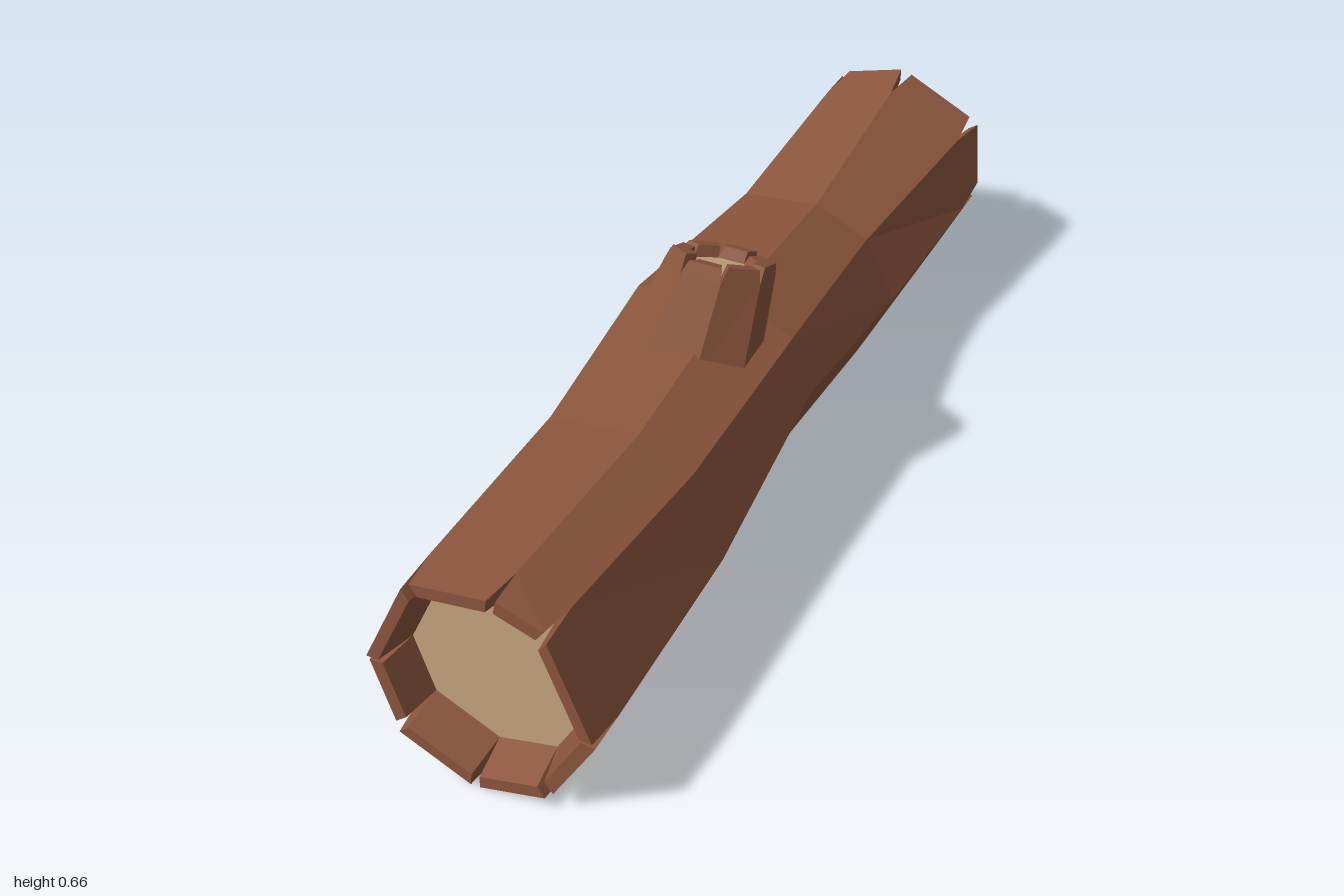
import * as THREE from 'three';
import { ConvexGeometry } from 'three/addons/geometries/ConvexGeometry.js';

const bark = new THREE.MeshStandardMaterial({ color: 0x8c563d });
bark.name = 'bark brown';
const wood = new THREE.MeshStandardMaterial({ color: 0xc6a680 });
wood.name = 'cut wood tan';

const mix = (a, b, t) => a.clone().lerp(b, t);
const centreOf = ring => ring.reduce((s, p) => s.add(p), new THREE.Vector3()).divideScalar(ring.length);
// Move a ring part of the way towards its centre
const shrink = (ring, t) => ring.map(p => mix(p, centreOf(ring), t));

function meshFrom(points, material, name) {
  const g = new THREE.BufferGeometry().setFromPoints(points);
  g.computeVertexNormals();
  const m = new THREE.Mesh(g, material);
  m.name = name;
  return m;
}

// Faceted skin through rings, each running clockwise as seen from the first end
function loft(rings, name) {
  const pts = [];
  for (let r = 0; r < rings.length - 1; r++) {
    const A = rings[r], B = rings[r + 1];
    A.forEach((a, i) => {
      const j = (i + 1) % A.length;
      pts.push(a, A[j], B[j], a, B[j], B[i]);
    });
  }
  return meshFrom(pts, bark, name);
}

// Flat cut face: a fan that faces the side where the ring runs clockwise
function cutFace(ring, name) {
  const c = centreOf(ring), pts = [];
  ring.forEach((p, i) => pts.push(c, ring[(i + 1) % ring.length], p));
  return meshFrom(pts, wood, name);
}

// Separate bark slabs standing round a cut face, with V-shaped splits between them
function barkRim(base, tip, { gap, wall, lip, uneven }, name) {
  const group = new THREE.Group();
  group.name = name;
  const baseIn = shrink(base, wall), tipIn = shrink(tip, lip);
  base.forEach((_, i) => {
    const j = (i + 1) % base.length;
    const pull = uneven * (0.5 + 0.5 * Math.sin(i * 2.4));
    const end = (t, b, u, v) => mix(mix(t[u], t[v], gap), mix(b[u], b[v], gap), pull);
    const slab = new THREE.Mesh(new ConvexGeometry([
      base[i].clone(), base[j].clone(), baseIn[i].clone(), baseIn[j].clone(),
      end(tip, base, i, j), end(tip, base, j, i),
      end(tipIn, baseIn, i, j), end(tipIn, baseIn, j, i),
    ]), bark);
    slab.name = 'barkSlab' + (i + 1);
    group.add(slab);
  });
  return group;
}

export function createModel() {
  const log = new THREE.Group();
  log.name = 'log';

  // Trunk cross-sections, from front to back
  const sections = [
    [1.00, [[-.135, .463], [.04, .487], [.145, .45], [.236, .215], [.133, .04], [-.022, .002], [-.187, .085], [-.236, .242]]],
    [.45, [[-.14, .445], [.05, .465], [.165, .41], [.225, .215], [.13, .04], [-.02, .01], [-.18, .09], [-.235, .235]]],
    [.00, [[-.178, .456], [.04, .497], [.17, .43], [.212, .302], [.13, .115], [-.02, .05], [-.18, .13], [-.235, .275]]],
    [-.47, [[-.15, .415], [.02, .435], [.14, .375], [.21, .24], [.13, .072], [-.02, .025], [-.165, .1], [-.2, .245]]],
    [-1.0, [[-.135, .458], [.02, .502], [.2, .41], [.212, .22], [.13, .055], [-.02, .028], [-.17, .1], [-.22, .25]]],
  ].map(([z, ring]) => ring.map(([x, y]) => new THREE.Vector3(x, y, z)));
  const [front, s1, s2, s3, back] = sections;
  const frontBase = front.map((p, i) => mix(p, s1[i], 0.17));
  const backBase = back.map((p, i) => mix(p, s3[i], 0.19));
  log.add(loft([frontBase, s1, s2, s3, backBase], 'trunk'));

  // Trunk ends
  const rim = { gap: 0.055, wall: 0.2, lip: 0.11, uneven: 0.14 };
  log.add(barkRim(frontBase, front, rim, 'frontRim'));
  log.add(cutFace(shrink(frontBase, 0.2), 'frontCutFace'));
  log.add(barkRim(backBase, back, { ...rim, gap: 0.085 }, 'backRim'));
  log.add(cutFace(shrink(backBase, 0.2).reverse(), 'backCutFace'));

  // Branch stub: wide root sunk in the trunk, narrow top tilted to the back
  const ringAt = (cx, cy, cz, rx, rz, slope) => Array.from({ length: 8 }, (_, i) => {
    const t = (i + 0.5) * Math.PI / 4;
    const dz = Math.sin(t) * rz;
    return new THREE.Vector3(cx + Math.cos(t) * rx, cy + dz * slope, cz + dz);
  });
  const top = ringAt(.04, .63, .048, .108, .088, .42);
  const root = ringAt(-.005, .43, .105, .145, .125, -.05);
  const topBase = top.map((p, i) => mix(p, root[i], 0.16));
  const branch = new THREE.Group();
  branch.name = 'branchStub';
  branch.add(loft([topBase, root], 'branchBark'));
  branch.add(barkRim(topBase, top, { gap: 0.09, wall: 0.36, lip: 0.28, uneven: 0.3 }, 'branchRim'));
  branch.add(cutFace(shrink(topBase, 0.36), 'branchCutFace'));
  log.add(branch);
  return log;
}
